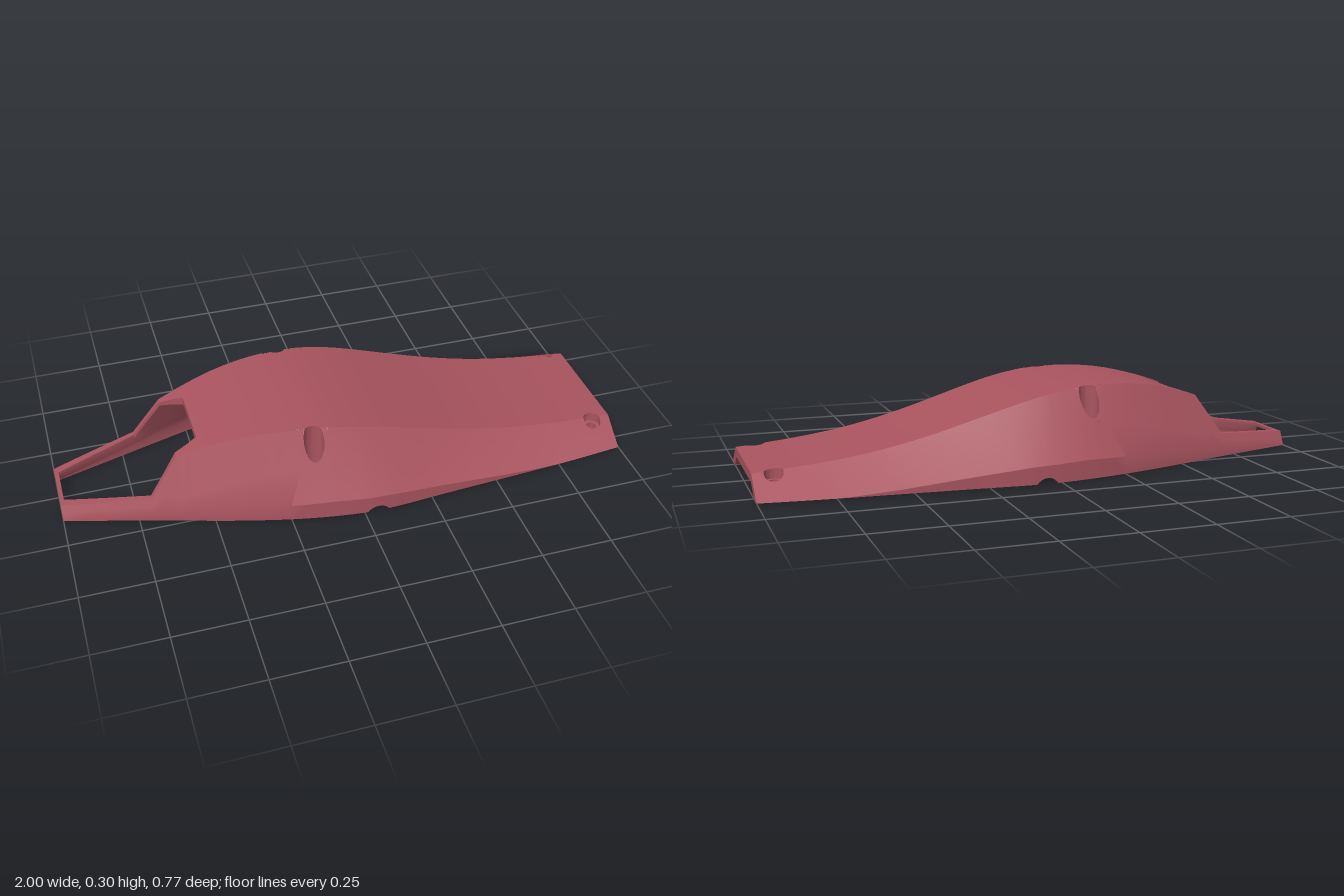
import * as THREE from 'three';
import { toCreasedNormals } from 'three/addons/utils/BufferGeometryUtils.js';

// Profile curves along the length (x)
const curve = (Type, xs, ys) => {
  const f = new Type(xs, ys, 1);
  return (x) => f.evaluate(x)[0];
};
const smooth = (xs, ys) => curve(THREE.CubicInterpolant, xs, ys);
const linear = (xs, ys) => curve(THREE.LinearInterpolant, xs, ys);

const baseHalf = smooth([-1, -0.7, -0.4, -0.2, 0, 0.1, 0.3, 0.6, 0.8, 1],
  [0.125, 0.212, 0.303, 0.352, 0.381, 0.382, 0.367, 0.346, 0.331, 0.31]);
const roofHalf = smooth([-1, -0.6, -0.4, -0.2, 0, 0.3, 0.6, 1],
  [0.1, 0.165, 0.204, 0.235, 0.248, 0.236, 0.221, 0.205]);
const roofHeight = smooth([-1, -0.7, -0.6, -0.5, -0.4, -0.3, -0.2, -0.1, 0, 0.1, 0.2, 0.3, 0.4, 0.5, 0.6, 0.7, 0.85, 1],
  [0.05, 0.185, 0.225, 0.257, 0.281, 0.294, 0.297, 0.292, 0.276, 0.252, 0.223, 0.193, 0.164, 0.139, 0.118, 0.102, 0.085, 0.073]);
const kneeHeight = linear([-1, -0.7, -0.4, -0.1, 0.1, 0.3, 0.55, 0.73, 1],
  [0, 0.03, 0.055, 0.067, 0.06, 0.04, 0.014, 0, 0]);
const railTop = linear([-1, -0.7, -0.6], [0.05, 0.08, 0.225]);
const baseThick = linear([-1, -0.66, -0.2, 0.3, 1], [0.035, 0.03, 0.035, 0.035, 0.06]);
const sideThick = linear([-1, -0.66, -0.5, 0.3, 1], [0.03, 0.018, 0.025, 0.025, 0.015]);
const roofThick = linear([-1, -0.6, -0.52, 1], [0.012, 0.014, 0.03, 0.033]);

const REAR = -0.6, LIP = -0.52;
// Small round notch in the bottom edge
const notch = (x) => Math.max(0, Math.sqrt(Math.max(0, 0.045 ** 2 - (x - 0.05) ** 2)) - 0.025);

// Half cross-section: matching outer and inner point rows, as [z, y]
function section(x, open = false) {
  const w = baseHalf(x), k = kneeHeight(x), rail = x < REAR;
  let t = roofHalf(x), h = roofHeight(x);
  if (rail) {
    const cut = railTop(x);
    t = w + (t - w) * (cut - k) / (h - k);
    h = cut;
  }
  const wi = w - baseThick(x), ti = t - sideThick(x), hi = h - roofThick(x);
  let e = 0;
  if (rail) e = ti;
  else if (x < LIP || open) e = THREE.MathUtils.lerp(ti, 0.115, (x - REAR) / (LIP - REAR));
  const outY = (z) => (z < t ? h : k + (h - k) * (w - z) / (w - t));
  const inY = (z) => (z < ti ? hi : k + (hi - k) * (wi - z) / (wi - ti));
  const zb = rail ? (w + t) / 2 : Math.min(t + 0.06, (w + t * 0.3) / 1.3);
  const zbi = ti + Math.min(0.1, (wi - ti) * 0.85);
  const za = Math.max(t - 0.04, e), zai = Math.max(ti - 0.03, e), y0 = notch(x);
  return {
    outY, inY,
    out: [[w, y0], [w, k], [zb, outY(zb)], [t, h], [za, h], [e, h]],
    inn: [[wi, y0], [wi, k], [zbi, inY(zbi)], [ti, hi], [zai, hi], [e, hi]],
  };
}

// Screw posts: centre, patch half length, pocket radius, pocket floor, inner hole radius
const posts = [
  { x: -0.145, z: 0.26, R: 0.055, r: 0.035, floor: 0.1, ri: 0.037 },
  { x: 0.93, z: 0.215, R: 0.045, r: 0.032, floor: 0.045, ri: 0.02 },
];
const SEG = 32;

// Collects triangles and mirrors them across z when side is -1
function collector() {
  const pos = [];
  const tri = (a, b, c, side) => {
    const area = new THREE.Triangle(...[a, b, c].map((p) => new THREE.Vector3(...p))).getArea();
    if (area < 1e-9) return;
    for (const p of side > 0 ? [a, b, c] : [a, c, b]) pos.push(p[0], p[1], p[2] * side);
  };
  return {
    quad(a, b, c, d, side) { tri(a, b, c, side); tri(a, c, d, side); },
    loft(rings, side) {
      for (let i = 0; i + 1 < rings.length; i++) {
        for (let k = 0; k < SEG; k++) {
          const n = (k + 1) % SEG;
          this.quad(rings[i][k], rings[i][n], rings[i + 1][n], rings[i + 1][k], side);
        }
      }
    },
    geometry() {
      const g = new THREE.BufferGeometry();
      g.setAttribute('position', new THREE.Float32BufferAttribute(pos, 3));
      return toCreasedNormals(g, 0.45);
    },
  };
}

const ring = (fn) => Array.from({ length: SEG }, (_, k) => {
  const a = (k / SEG) * Math.PI * 2;
  return fn(Math.cos(a), Math.sin(a));
});

// Surface patch from a round hole out to the surrounding grid cells
function holePatch(post, r, row, height) {
  const rings = [];
  for (let i = 0; i <= 5; i++) {
    rings.push(ring((c, s) => {
      const m = Math.max(Math.abs(c), Math.abs(s));
      const ex = post.x + post.R * c / m;
      const pts = section(ex)[row];
      const up = pts[2][0], low = pts[4][0];
      const ez = (up + low) / 2 + (up - low) / 2 * s / m;
      const x = THREE.MathUtils.lerp(post.x + r * c, ex, i / 5);
      const z = THREE.MathUtils.lerp(post.z + r * s, ez, i / 5);
      return [x, section(x)[height](z), z];
    }));
  }
  return rings;
}

function shellGeometry() {
  const xs = new Set();
  for (let i = 0; i <= 40; i++) xs.add(+(-1 + i * 0.05).toFixed(3));
  [LIP, -0.56, -0.145, -0.09, 0.885, 0.93, 0.975].forEach((x) => xs.add(x));
  for (let i = -6; i <= 6; i++) xs.add(+(0.05 + 0.0374 * Math.sin(i * Math.PI / 12)).toFixed(4));
  const stations = [];
  for (const x of [...xs].sort((a, b) => a - b)) {
    if (x === LIP) stations.push([x, section(x, true)]);
    stations.push([x, section(x)]);
  }
  const skin = collector();
  const loops = stations.map(([x, s]) => [...s.out, ...[...s.inn].reverse()].map(([z, y]) => [x, y, z]));
  for (const side of [1, -1]) {
    // Swept walls and roof, leaving gaps for the hole patches
    for (let i = 0; i + 1 < loops.length; i++) {
      const a = loops[i], b = loops[i + 1], mid = (a[0][0] + b[0][0]) / 2;
      const holed = posts.some((p) => Math.abs(mid - p.x) < p.R);
      for (let j = 0; j < 12; j++) {
        if (holed && [2, 3, 7, 8].includes(j)) continue;
        const n = (j + 1) % 12;
        skin.quad(a[j], b[j], b[n], a[n], side);
      }
    }
    // End faces
    const first = loops[0], last = loops[loops.length - 1];
    for (let j = 0; j < 5; j++) {
      skin.quad(last[j], last[11 - j], last[10 - j], last[j + 1], side);
      skin.quad(first[j], first[j + 1], first[10 - j], first[11 - j], side);
    }
    for (const p of posts) {
      skin.loft(holePatch(p, p.r, 'out', 'outY'), side);
      skin.loft(holePatch(p, p.ri, 'inn', 'inY'), -side === 1 ? 1 : side, side);
    }
  }
  return skin.geometry();
}

// Hollow post with a recessed pocket that follows the sloping wall
function postGeometry(p, side) {
  const body = collector();
  const at = (r, y) => ring((c, s) => {
    const x = p.x + r * c, z = p.z + r * s;
    return [x, y === null ? section(x).outY(z) - (r > p.r ? 0.012 : 0) : y, z];
  });
  body.loft([at(0.046, null), at(0.046, 0), at(0.017, 0), at(0.017, p.floor), at(p.r, p.floor), at(p.r, null)], side);
  return body.geometry();
}

export function createModel() {
  const model = new THREE.Group();
  model.name = 'shellCover';
  const red = new THREE.MeshStandardMaterial({ color: 0xa9545f, side: THREE.DoubleSide });
  red.name = 'dustyRed';
  const add = (name, geometry) => {
    const mesh = new THREE.Mesh(geometry, red);
    mesh.name = name;
    model.add(mesh);
    return mesh;
  };
  add('shell', shellGeometry());
  for (const side of [1, -1]) {
    posts.forEach((p, i) => add(`${side > 0 ? 'front' : 'back'}ScrewPost${i + 1}`, postGeometry(p, side)));
  }
  // Thin bar joining the two rails
  add('railBar', new THREE.BoxGeometry(0.014, 0.011, 0.16)).position.set(-0.993, 0.0445, 0);
  return model;
}
